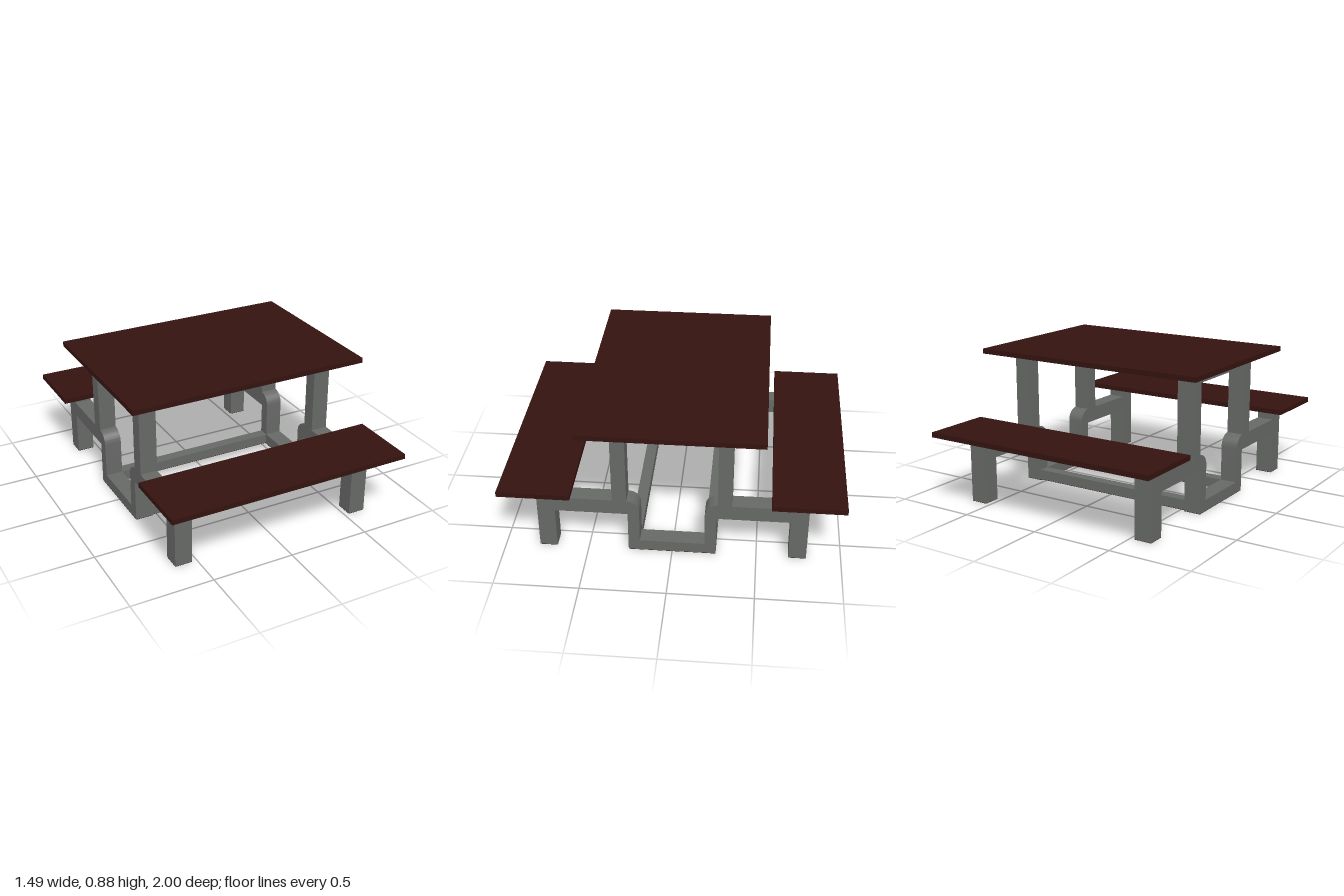
import * as THREE from 'three';
import { toCreasedNormals } from 'three/addons/utils/BufferGeometryUtils.js';

const wood = new THREE.MeshStandardMaterial({ color: 0x34130f });
const steel = new THREE.MeshStandardMaterial({ color: 0x676967 });

const INNER = 0.53, OUTER = 0.635; // x range of each side frame
const PAD = 0.002;

function box(parent, name, material, [x0, x1], [y0, y1], [z0, z1]) {
  const mesh = new THREE.Mesh(new THREE.BoxGeometry(x1 - x0, y1 - y0, z1 - z0), material);
  mesh.position.set((x0 + x1) / 2, (y0 + y1) / 2, (z0 + z1) / 2);
  mesh.name = name;
  parent.add(mesh);
}

// Side frame outline (horizontal = z): feet, seat arms, table posts, base bar
function frameGeometry() {
  const half = [
    [0.26, PAD], [0.26, 0.265], [0.69, 0.265], [0.69, PAD], [0.795, PAD],
    [0.795, 0.43], [0.69, 0.43], [0.69, 0.36], [0.35, 0.36], [0.35, 0.85],
  ];
  const mirrored = half.map(([z, y]) => [-z, y]).reverse();
  const shape = new THREE.Shape([...half, ...mirrored].map(([z, y]) => new THREE.Vector2(z, y)));

  // Opening between the posts, with rounded elbows where the arms turn down
  const hole = new THREE.Path();
  hole.moveTo(-0.192, 0.07);
  hole.lineTo(-0.192, 0.287);
  hole.absarc(-0.265, 0.287, 0.073, 0, Math.PI / 2, false);
  hole.lineTo(-0.265, 0.787);
  hole.lineTo(0.265, 0.787);
  hole.lineTo(0.265, 0.36);
  hole.absarc(0.265, 0.287, 0.073, Math.PI / 2, Math.PI, false);
  hole.lineTo(0.192, 0.07);
  hole.closePath();
  shape.holes.push(hole);

  const geometry = new THREE.ExtrudeGeometry(shape, {
    depth: OUTER - INNER, bevelEnabled: false, curveSegments: 8,
  });
  geometry.translate(0, 0, -(OUTER - INNER) / 2);
  geometry.rotateY(-Math.PI / 2);
  return toCreasedNormals(geometry, Math.PI / 6);
}

export function createModel() {
  const model = new THREE.Group();
  model.name = 'picnicTable';

  // Table top and the two benches
  box(model, 'tableTop', wood, [-0.745, 0.745], [0.85, 0.88], [-0.53, 0.53]);
  box(model, 'frontBench', wood, [-0.745, 0.745], [0.43, 0.46], [0.575, 1]);
  box(model, 'backBench', wood, [-0.745, 0.745], [0.43, 0.46], [-1, -0.575]);

  // Side frames with pads under the feet and base bar
  const geometry = frameGeometry();
  for (const side of [-1, 1]) {
    const frame = new THREE.Mesh(geometry, steel);
    frame.name = side > 0 ? 'leftSideFrame' : 'rightSideFrame';
    frame.position.x = side * (INNER + OUTER) / 2;
    model.add(frame);

    const xs = side > 0 ? [INNER, OUTER] : [-OUTER, -INNER];
    box(model, 'basePad', wood, xs, [0, PAD], [-0.26, 0.26]);
    box(model, 'frontFootPad', wood, xs, [0, PAD], [0.69, 0.795]);
    box(model, 'backFootPad', wood, xs, [0, PAD], [-0.795, -0.69]);
  }

  // Long rails joining the side frames at the ground
  for (const [name, zs] of [['front', [0.192, 0.26]], ['back', [-0.26, -0.192]]]) {
    box(model, name + 'Rail', steel, [-INNER, INNER], [0.008, 0.07], zs);
    box(model, name + 'RailPad', wood, [-INNER, INNER], [0.006, 0.008], zs);
  }
  return model;
}
